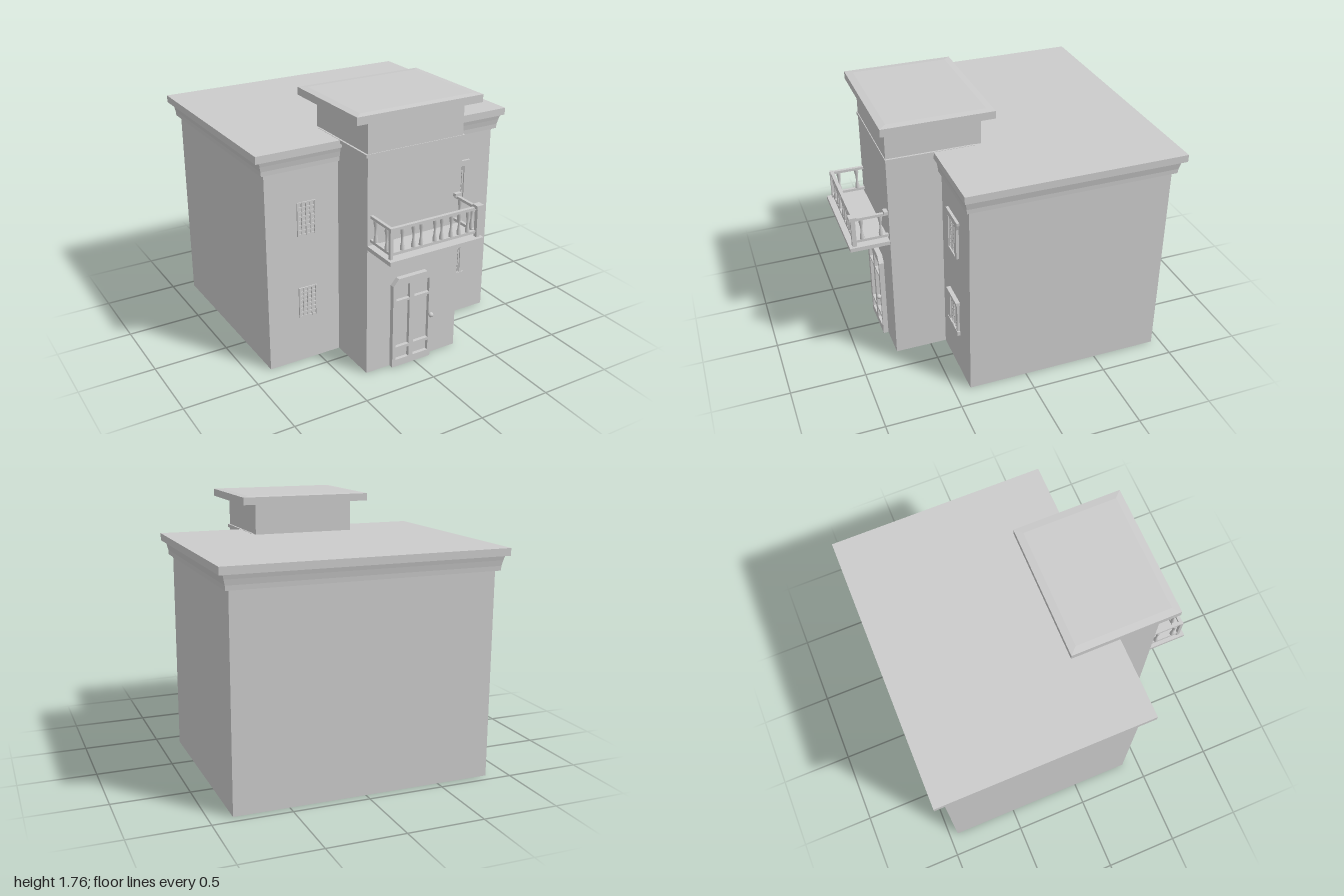
import * as THREE from 'three';

const mat = new THREE.MeshStandardMaterial({ color: 0xcccccc, flatShading: true, side: THREE.DoubleSide });
const smooth = new THREE.MeshStandardMaterial({ color: 0xcccccc });

function add(parent, name, geo, material = mat) {
  const m = new THREE.Mesh(geo, material);
  m.name = name;
  parent.add(m);
  return m;
}

// Box given by its limits
function box(parent, name, x0, x1, y0, y1, z0, z1) {
  const m = add(parent, name, new THREE.BoxGeometry(x1 - x0, y1 - y0, z1 - z0));
  m.position.set((x0 + x1) / 2, (y0 + y1) / 2, (z0 + z1) / 2);
  return m;
}

// Closed stack of rectangular rings: [y, half width, z back, z front]
function stack(parent, name, rings) {
  const pos = [], idx = [];
  for (const [y, w, b, f] of rings) pos.push(-w, y, f, w, y, f, w, y, b, -w, y, b);
  for (let r = 0; r < rings.length - 1; r++) {
    for (let i = 0; i < 4; i++) {
      const a = r * 4 + i, c = r * 4 + (i + 1) % 4;
      idx.push(a, c, c + 4, a, c + 4, a + 4);
    }
  }
  const t = (rings.length - 1) * 4;
  idx.push(0, 2, 1, 0, 3, 2, t, t + 1, t + 2, t, t + 2, t + 3);
  const g = new THREE.BufferGeometry();
  g.setAttribute('position', new THREE.Float32BufferAttribute(pos, 3));
  g.setIndex(idx);
  const flat = g.toNonIndexed();
  flat.computeVertexNormals();
  return add(parent, name, flat);
}

const points = list => list.map(([x, y]) => new THREE.Vector2(x, y));
const rect = (x0, x1, y0, y1) => new THREE.Path(points([[x0, y0], [x0, y1], [x1, y1], [x1, y0]]));

// Flat outline with holes, extruded from z0 to z1
function plate(parent, name, outline, holes, z0, z1) {
  const s = new THREE.Shape(points(outline));
  s.holes.push(...holes);
  const m = add(parent, name, new THREE.ExtrudeGeometry(s, { depth: z1 - z0, bevelEnabled: false }));
  m.position.z = z0;
  return m;
}

// Lattice of crossed bars on the wall
function grille(parent, name, x0, x1, y0, y1) {
  const g = new THREE.Group();
  g.name = name;
  parent.add(g);
  const cols = 5, rows = 8, t = 0.005, z = 0.388;
  for (let i = 0; i < cols; i++) {
    const x = x0 + t + (x1 - x0 - 2 * t) * i / (cols - 1);
    box(g, 'uprightBar', x - t, x + t, y0, y1, z, z + 0.012);
  }
  for (let j = 0; j < rows; j++) {
    const y = y0 + t + (y1 - y0 - 2 * t) * j / (rows - 1);
    box(g, 'crossBar', x0, x1, y - t, y + t, z, z + 0.009);
  }
}

export function createModel() {
  const house = new THREE.Group();
  house.name = 'house';

  // Main block, cornice and flat roof
  box(house, 'mainWalls', -0.855, 0.855, 0, 1.45, -0.94, 0.39);
  stack(house, 'cornice', [
    [1.355, 0.88, -0.965, 0.412], [1.385, 0.882, -0.967, 0.414],
    [1.42, 0.89, -0.973, 0.421], [1.45, 0.897, -0.98, 0.429],
  ]);
  box(house, 'mainRoof', -0.925, 0.925, 1.45, 1.498, -1, 0.44);

  // Entrance tower
  box(house, 'towerWalls', -0.345, 0.345, 0, 1.71, 0.13, 0.742);
  box(house, 'towerBand', -0.358, 0.358, 1.478, 1.5, 0.17, 0.747);
  stack(house, 'towerRoof', [
    [1.705, 0.447, 0.07, 0.79], [1.755, 0.447, 0.07, 0.79], [1.76, 0.4, 0.117, 0.743],
  ]);

  // Door with recessed panels
  const door = new THREE.Group();
  door.name = 'door';
  house.add(door);
  const holes = [];
  for (const [x0, x1] of [[-0.145, -0.045], [-0.01, 0.105]]) {
    for (const [y0, y1] of [[0.05, 0.125], [0.145, 0.47], [0.485, 0.588]]) holes.push(rect(x0, x1, y0, y1));
  }
  plate(door, 'doorLeaf',
    [[-0.17, 0], [0.125, 0], [0.125, 0.592], [0.088, 0.638], [-0.13, 0.638], [-0.17, 0.592]],
    holes, 0.74, 0.776);
  box(door, 'doorPanels', -0.155, 0.115, 0.02, 0.6, 0.738, 0.752);
  const stem = add(door, 'knobStem', new THREE.CylinderGeometry(0.007, 0.007, 0.03, 10), smooth);
  stem.rotation.x = Math.PI / 2;
  stem.position.set(0.115, 0.318, 0.78);
  const knob = add(door, 'knob', new THREE.SphereGeometry(0.017, 14, 10), smooth);
  knob.position.set(0.115, 0.318, 0.79);

  // Windows: plain lattices on one side, framed on the other
  grille(house, 'upperRightGrille', -0.64, -0.51, 0.9, 1.127);
  grille(house, 'lowerRightGrille', -0.64, -0.51, 0.32, 0.535);
  grille(house, 'upperLeftGrille', 0.508, 0.63, 0.895, 1.127);
  grille(house, 'lowerLeftGrille', 0.508, 0.63, 0.315, 0.535);
  plate(house, 'upperWindowFrame',
    [[0.478, 0.895], [0.662, 0.895], [0.662, 1.11], [0.675, 1.145], [0.677, 1.165],
      [0.465, 1.165], [0.467, 1.145], [0.478, 1.11]],
    [rect(0.508, 0.632, 0.899, 1.128)], 0.388, 0.408);
  plate(house, 'lowerWindowFrame',
    [[0.483, 0.3], [0.655, 0.3], [0.655, 0.54], [0.483, 0.54]],
    [rect(0.508, 0.632, 0.322, 0.53)], 0.388, 0.406);
  box(house, 'windowHead', 0.472, 0.665, 0.533, 0.555, 0.388, 0.418);
  box(house, 'windowSill', 0.472, 0.665, 0.29, 0.32, 0.388, 0.41);

  // Balcony slab and railings
  const balcony = new THREE.Group();
  balcony.name = 'balcony';
  house.add(balcony);
  box(balcony, 'slab', -0.345, 0.342, 0.88, 0.907, 0.74, 1);
  for (const [y0, y1] of [[0.93, 0.948], [1.088, 1.106]]) {
    box(balcony, 'frontRail', -0.325, 0.315, y0, y1, 0.945, 0.968);
    for (const x of [-0.315, 0.31]) box(balcony, 'sideRail', x - 0.01, x + 0.01, y0, y1, 0.74, 0.96);
  }
  box(balcony, 'cornerPost', 0.3, 0.327, 0.907, 1.1, 0.952, 0.98);
  box(balcony, 'postCap', 0.287, 0.337, 1.1, 1.123, 0.942, 0.992);
  box(balcony, 'wallPostCap', 0.29, 0.337, 1.1, 1.123, 0.74, 0.768);
  box(balcony, 'rightPost', -0.327, -0.307, 0.907, 1.108, 0.948, 0.97);

  // Waisted balusters
  const profile = points([[0.014, 0], [0.014, 0.02], [0.009, 0.045], [0.007, 0.07], [0.009, 0.095], [0.014, 0.12], [0.014, 0.142]]);
  const spindle = new THREE.LatheGeometry(profile, 10);
  const spots = [-0.235, -0.155, -0.1, 0, 0.05, 0.12, 0.18, 0.245].map(x => [x, 0.956]);
  for (const x of [-0.315, 0.31]) for (const z of [0.79, 0.912]) spots.push([x, z]);
  for (const [x, z] of spots) add(balcony, 'baluster', spindle, smooth).position.set(x, 0.947, z);

  return house;
}
